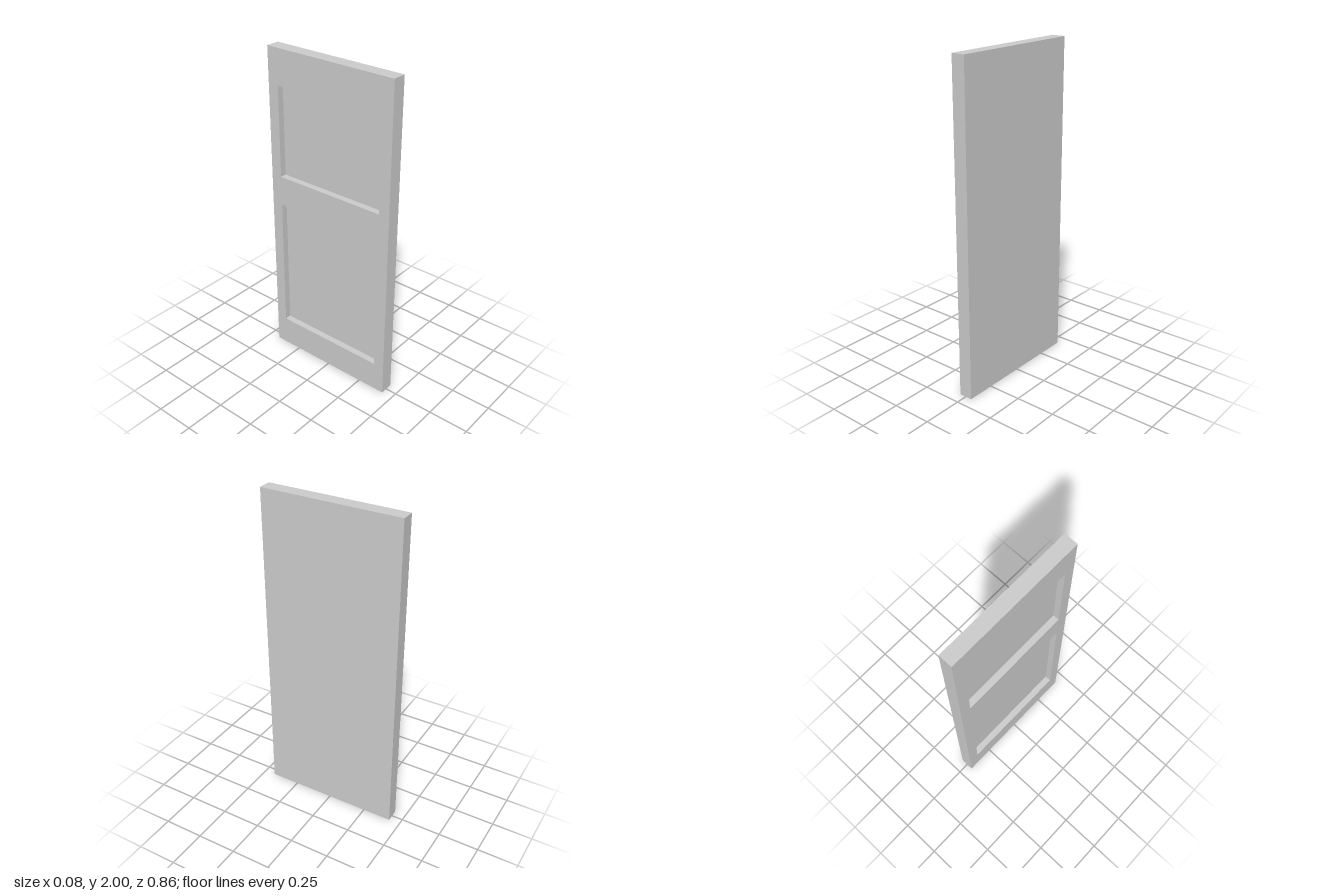
import * as THREE from 'three';

const THICK = 0.084, HEIGHT = 2, WIDTH = 0.858;   // door slab, along x, y, z
const DEPTH = 0.04;                               // depth of the sunk panels
const PANEL_HALF = 0.36;                          // half width of each panel
const PANELS = [
  { name: 'upperPanel', bottom: 1.22, top: 1.784 },
  { name: 'lowerPanel', bottom: 0.188, top: 1.033 },
];

// Box without its -x side; with inward = true its faces look into the box.
function openBox(w, h, d, inward) {
  const geo = new THREE.BoxGeometry(w, h, d);
  const index = Array.from(geo.index.array);
  index.splice(6, 6);
  if (inward) index.reverse();
  geo.setIndex(index);
  geo.clearGroups();
  geo.computeVertexNormals();
  return geo;
}

// Rectangle outline, counter-clockwise
function rect(path, half, bottom, top) {
  path.moveTo(-half, bottom);
  path.lineTo(half, bottom);
  path.lineTo(half, top);
  path.lineTo(-half, top);
  path.closePath();
  return path;
}

export function createModel() {
  const door = new THREE.Group();
  door.name = 'door';
  const material = new THREE.MeshStandardMaterial({ color: 0xcccccc, flatShading: true });
  const add = (name, geo, x, y) => {
    const mesh = new THREE.Mesh(geo, material);
    mesh.name = name;
    mesh.position.set(x, y, 0);
    door.add(mesh);
  };

  // Plain side and the four edges
  add('slab', openBox(THICK, HEIGHT, WIDTH, false), 0, HEIGHT / 2);

  // Stiles and rails around the two panels, facing -x
  const face = rect(new THREE.Shape(), WIDTH / 2, 0, HEIGHT);
  for (const p of PANELS) face.holes.push(rect(new THREE.Path(), PANEL_HALF, p.bottom, p.top));
  add('stilesAndRails', new THREE.ShapeGeometry(face).rotateY(-Math.PI / 2), -THICK / 2, 0);

  // Sunk panels: floor and four walls
  for (const p of PANELS) {
    add(p.name, openBox(DEPTH, p.top - p.bottom, PANEL_HALF * 2, true),
      (DEPTH - THICK) / 2, (p.top + p.bottom) / 2);
  }
  return door;
}
